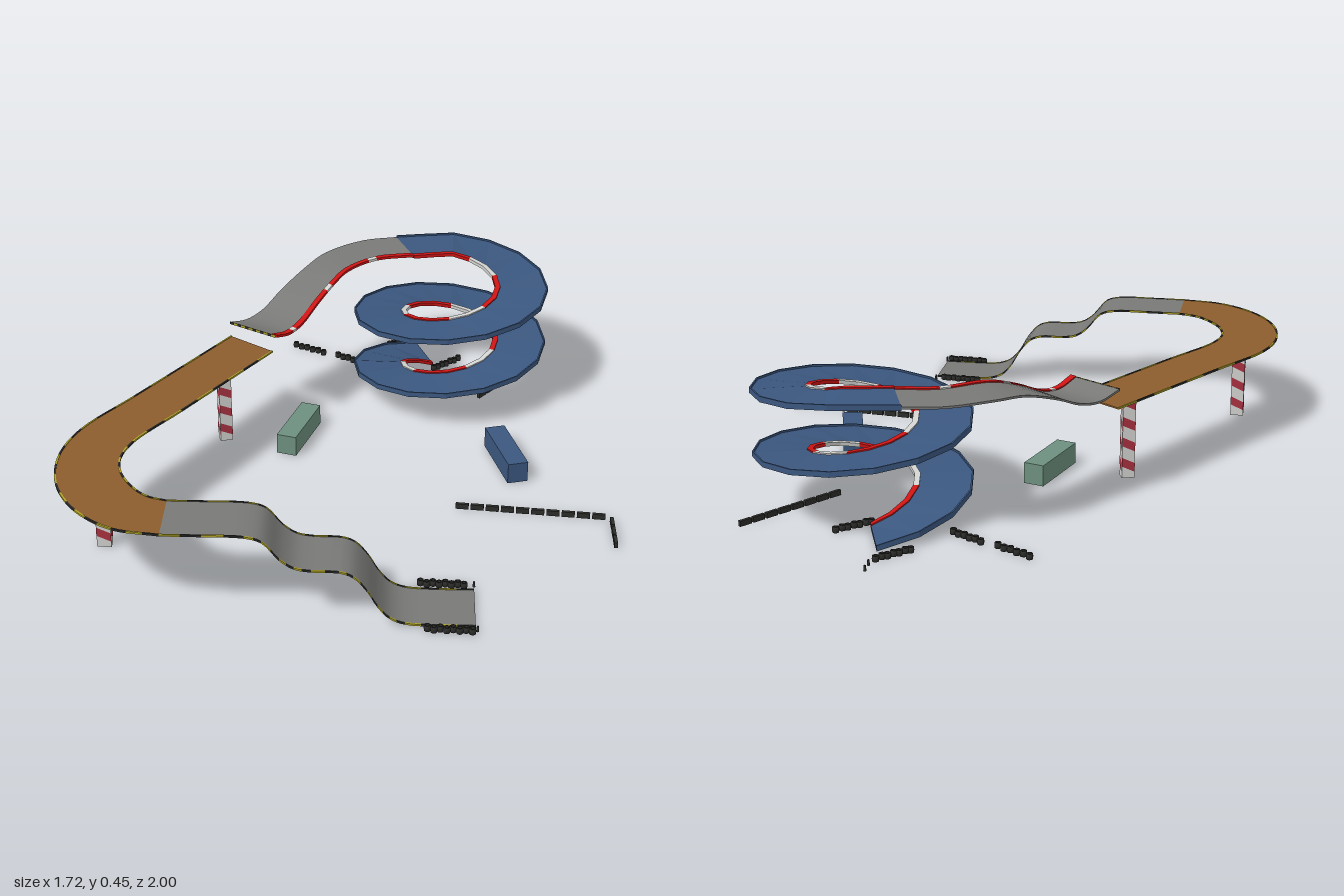
import * as THREE from 'three';
import { mergeGeometries, toCreasedNormals } from 'three/addons/utils/BufferGeometryUtils.js';

const mat = (name, color) => new THREE.MeshStandardMaterial({ name, color });
const V = (x, y, z) => new THREE.Vector3(x, y, z);

export function createModel() {
  const model = new THREE.Group();
  const grey = mat('asphalt grey', 0x797977), blue = mat('spiral blue', 0x3b577f);
  const orange = mat('deck orange', 0x8c5d2c), green = mat('container green', 0x6d8f7f);
  const red = mat('kerb red', 0xcc1414), white = mat('kerb white', 0xd2d2d0);
  const black = mat('rubber black', 0x2c2c2a), yellow = mat('edge yellow', 0xb0a428);
  const stripeRed = mat('pillar red', 0xa83240);

  const add = (name, geo, material, parent = model) => {
    const m = new THREE.Mesh(geo, material);
    m.name = name;
    parent.add(m);
    return m;
  };

  // Slab swept between a left and a right edge (seen along the travel direction)
  function slab(L, R, t) {
    const p = [];
    const quad = (a, b, c, d) => [a, b, c, a, c, d].forEach(v => p.push(v.x, v.y, v.z));
    const low = v => V(v.x, v.y - t, v.z);
    const n = L.length - 1;
    for (let i = 0; i < n; i++) {
      const [a, b, c, d] = [L[i], R[i], R[i + 1], L[i + 1]];
      quad(a, b, c, d);
      quad(low(d), low(c), low(b), low(a));
      quad(low(a), a, d, low(d));
      quad(b, low(b), low(c), c);
    }
    quad(low(L[0]), low(R[0]), R[0], L[0]);
    quad(L[n], R[n], low(R[n]), low(L[n]));
    const g = new THREE.BufferGeometry();
    g.setAttribute('position', new THREE.Float32BufferAttribute(p, 3));
    g.computeVertexNormals();
    return g;
  }

  // Two-coloured edging between fractions f0 and f1 of the road width
  function edging(name, L, R, f0, f1, lift, t, first, second, isFirst) {
    const at = (i, f) => L[i].clone().lerp(R[i], f).add(V(0, lift, 0));
    const sets = [[], []];
    for (let i = 0; i < L.length - 1; i++) {
      const piece = slab([at(i, f0), at(i + 1, f0)], [at(i, f1), at(i + 1, f1)], t);
      sets[isFirst(i) ? 0 : 1].push(piece);
    }
    [first, second].forEach((m, k) => {
      if (m && sets[k].length) add(name, mergeGeometries(sets[k]), m);
    });
  }

  const sample = (pts, n) => {
    const c = new THREE.CatmullRomCurve3(pts.map(p => V(...p)));
    return Array.from({ length: n + 1 }, (_, i) => c.getPoint(i / n));
  };

  // Spiral ramp: two turns, low-poly, climbing from the ground
  const inner = [], outer = [];
  for (let a = 20; a <= 741; a += 22.5) {
    const r = a * Math.PI / 180;
    let y = 0.09 + (a - 90) * 0.000568;
    if (a < 90) y = 0.012 + (a - 20) / 70 * 0.078;
    y = Math.min(y, 0.447);
    const at = q => V(0.345 - q * Math.sin(r), y, -0.537 - q * Math.cos(r));
    inner.push(at(0.17));
    outer.push(at(0.338));
  }
  inner.push(V(0.21, 0.447, -0.68));
  outer.push(V(0.15, 0.447, -0.84));
  add('spiralRamp', slab(inner, outer, 0.012), blue);
  edging('spiralKerb', inner, outer, -0.09, 0.02, 0.004, 0.012, red, white, i => i % 5 < 3);
  edging('spiralOuterLip', inner, outer, 0.98, 1.01, 0.006, 0.018, blue, null, () => true);

  // Jump ramp: curves off the spiral, drops and ends in a small lip
  const jumpL = sample([[0.21, 0.447, -0.68], [0.08, 0.445, -0.65], [-0.02, 0.44, -0.56], [-0.06, 0.425, -0.5],
    [-0.12, 0.385, -0.405], [-0.17, 0.345, -0.325], [-0.21, 0.336, -0.265], [-0.25, 0.356, -0.2]], 28);
  const jumpR = sample([[0.15, 0.447, -0.84], [0.03, 0.445, -0.81], [-0.1, 0.44, -0.71], [-0.17, 0.425, -0.61],
    [-0.25, 0.385, -0.505], [-0.31, 0.345, -0.425], [-0.36, 0.336, -0.365], [-0.41, 0.356, -0.3]], 28);
  add('jumpRamp', toCreasedNormals(slab(jumpL, jumpR, 0.007), 0.5), grey);
  edging('jumpKerb', jumpL, jumpR, -0.05, 0.07, 0.004, 0.009, white, red, i => i % 9 === 4);
  const lipA = [], lipB = [];
  for (let i = 0; i <= 12; i++) {
    lipA.push(jumpL[28].clone().lerp(jumpR[28], i / 12));
    lipB.push(jumpL[27].clone().lerp(jumpR[27], i / 12));
  }
  edging('jumpLipEdge', lipA, lipB, -0.1, 0.02, 0.001, 0.009, yellow, black, i => i % 2 === 0);

  // Raised deck: long straight and a wide bend
  const deckL = sample([[-0.26, 0.297, -0.2], [-0.39, 0.297, 0.013], [-0.52, 0.297, 0.227], [-0.645, 0.297, 0.43],
    [-0.67, 0.297, 0.53], [-0.655, 0.297, 0.62], [-0.61, 0.297, 0.7], [-0.56, 0.297, 0.75], [-0.5, 0.297, 0.772]], 48);
  const deckR = sample([[-0.41, 0.297, -0.31], [-0.55, 0.297, -0.08], [-0.685, 0.297, 0.14], [-0.82, 0.297, 0.36],
    [-0.86, 0.297, 0.52], [-0.84, 0.297, 0.69], [-0.76, 0.297, 0.835], [-0.64, 0.297, 0.93], [-0.5, 0.297, 0.958]], 48);
  add('raisedDeck', slab(deckL, deckR, 0.005), orange);

  // Stepped ramp: two smooth drops down to the ground
  const profile = [[-0.5, 0.297], [-0.38, 0.297], [-0.26, 0.295], [-0.21, 0.28], [-0.16, 0.222], [-0.12, 0.194],
    [-0.07, 0.185], [0.01, 0.183], [0.05, 0.168], [0.09, 0.122], [0.12, 0.07], [0.155, 0.03], [0.2, 0.011],
    [0.3, 0.006], [0.405, 0.006]];
  const stepL = sample(profile.map(([x, y]) => [x, y, 0.772]), 56);
  const stepR = sample(profile.map(([x, y]) => [x, y, 0.958]), 56);
  add('steppedRamp', toCreasedNormals(slab(stepL, stepR, 0.005), 0.6), grey);

  // Warning dashes along both edges of the deck and stepped ramp
  for (const [name, L, R] of [['deckEdge', deckL, deckR], ['steppedEdge', stepL, stepR]]) {
    for (const f of [-0.01, 0.98]) {
      edging(name, L, R, f, f + 0.03, 0.002, 0.006, yellow, black, i => i % 4 < 2);
    }
  }

  // Striped pillars under the deck
  function pillar(x, z, w, d, turn) {
    const g = new THREE.Group();
    g.name = 'pillar';
    g.position.set(x, 0, z);
    g.rotation.y = turn;
    add('pillarCore', new THREE.BoxGeometry(w, 0.292, d).translate(0, 0.146, 0), white, g);
    for (let side = 0; side < 4; side++) {
      const [across, depth] = side % 2 ? [d, w] : [w, d];
      for (let k = 0; k < 4; k++) {
        const y = 0.02 + k * 0.07, h = across / 2;
        const s = new THREE.Shape([[-h, y + 0.02], [h, y], [h, y + 0.03], [-h, y + 0.05]]
          .map(p => new THREE.Vector2(...p)));
        const geo = new THREE.ShapeGeometry(s).translate(0, 0, depth / 2 + 0.001).rotateY(side * Math.PI / 2);
        add('pillarStripe', geo, stripeRed, g);
      }
    }
    model.add(g);
  }
  pillar(-0.732, 0.555, 0.045, 0.03, 0);
  pillar(-0.42, -0.122, 0.042, 0.03, 0.35);

  // Containers, hollow and open underneath
  function container(name, x, z, w, l, turn, material) {
    const g = new THREE.Group();
    g.name = name;
    g.position.set(x, 0, z);
    g.rotation.y = turn;
    const h = 0.068, t = 0.004;
    add('containerTop', new THREE.BoxGeometry(w, t, l).translate(0, h, 0), material, g);
    for (const s of [-1, 1]) {
      add('containerSide', new THREE.BoxGeometry(t, h, l).translate(s * (w - t) / 2, h / 2, 0), material, g);
      add('containerEnd', new THREE.BoxGeometry(w, h, t).translate(0, h / 2, s * (l - t) / 2), material, g);
    }
    model.add(g);
  }
  container('greenContainer', -0.17, -0.135, 0.068, 0.24, -0.3, green);
  container('blueContainer', 0.53, 0.012, 0.068, 0.255, 0.27, blue);

  // Low barrier blocks laid end to end
  function barrier(x0, z0, x1, z1, n) {
    const len = Math.hypot(x1 - x0, z1 - z0), turn = Math.atan2(z0 - z1, x1 - x0);
    for (let i = 0; i < n; i++) {
      const f = (i + 0.5) / n;
      const b = add('barrierBlock', new THREE.BoxGeometry(len / n * 0.86, 0.018, 0.011), black);
      b.position.set(x0 + (x1 - x0) * f, 0.009, z0 + (z1 - z0) * f);
      b.rotation.y = turn;
    }
  }
  barrier(0.355, 0.302, 0.835, 0.355, 10);
  barrier(0.85, 0.365, 0.85, 0.525, 3);
  barrier(0.685, -0.75, 0.45, -0.44, 8);

  // Rows of stacked tyres in a slight zigzag
  const tyre = new THREE.LatheGeometry([[0.005, 0], [0.01, 0], [0.011, 0.009], [0.01, 0.018], [0.005, 0.018], [0.005, 0]]
    .map(p => new THREE.Vector2(...p)), 10);
  function tyres(x0, z0, x1, z1, n) {
    for (let i = 0; i < n; i++) {
      const f = i / (n - 1);
      add('tyreStack', tyre, black).position.set(x0 + (x1 - x0) * f, 0, z0 + (z1 - z0) * f + (i % 2 ? 0.003 : -0.003));
    }
  }
  tyres(-0.22, -0.825, -0.115, -0.768, 6);
  tyres(-0.06, -0.745, 0.035, -0.69, 6);
  tyres(0.13, -0.84, 0.215, -0.92, 7);
  tyres(0.295, -0.655, 0.385, -0.735, 7);
  tyres(0.245, 0.745, 0.375, 0.751, 8);
  tyres(0.265, 0.977, 0.395, 0.983, 8);

  // Small marker posts
  for (const [x, z] of [[0.228, -0.955], [0.228, -0.995], [0.405, 0.748], [0.41, 0.975]]) {
    add('markerPost', new THREE.CylinderGeometry(0.003, 0.005, 0.018, 6), black).position.set(x, 0.009, z);
  }
  return model;
}
